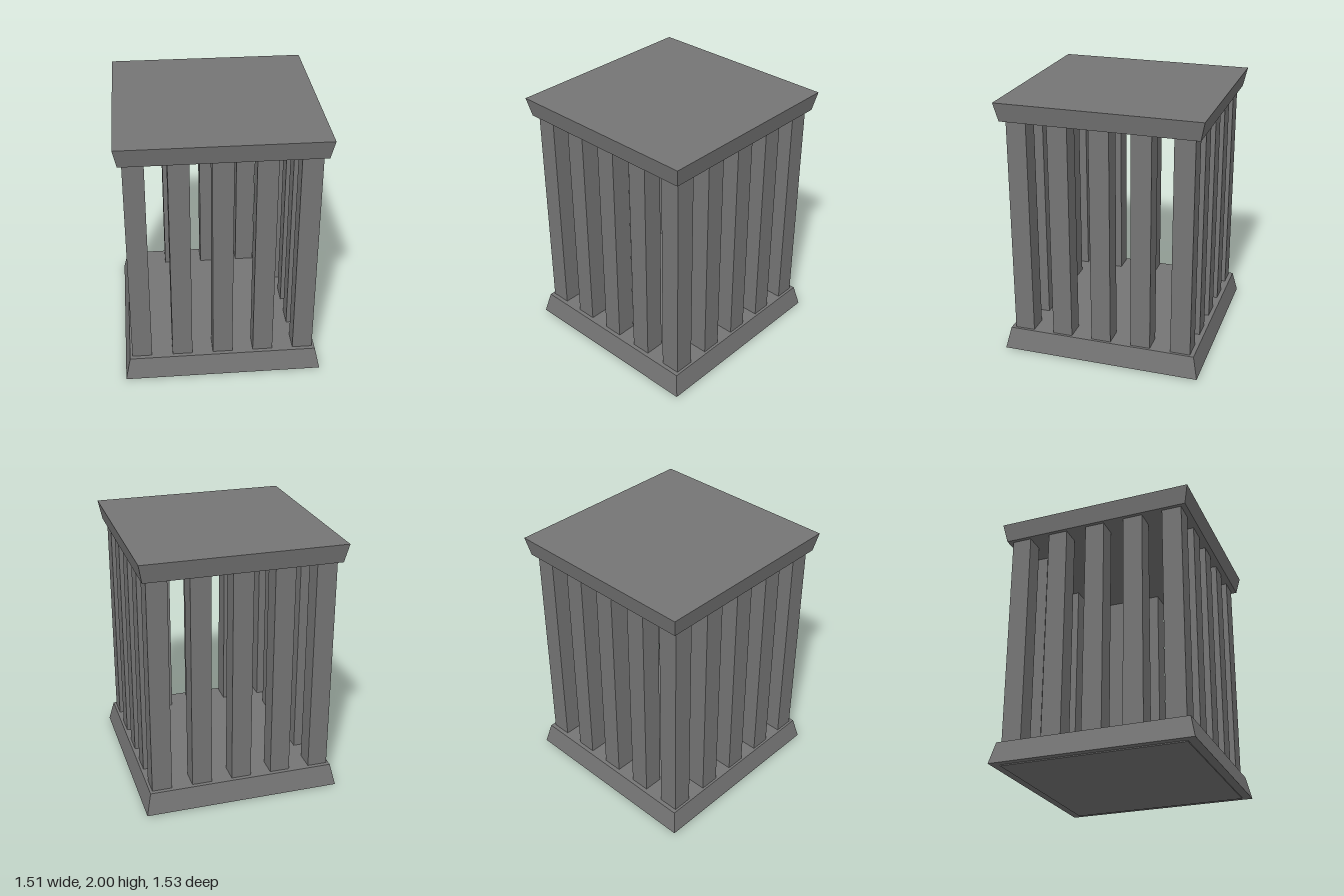
import * as THREE from 'three';

const material = new THREE.MeshStandardMaterial({ color: 0x757575, flatShading: true });

function add(group, name, geometry, x, y, z) {
  const mesh = new THREE.Mesh(geometry, material);
  mesh.name = name;
  mesh.position.set(x, y, z);
  group.add(mesh);
}

// Box whose top and bottom faces have different sizes
function taperedSlab(bottomX, bottomZ, topX, topZ, height) {
  const geometry = new THREE.BoxGeometry(1, height, 1);
  const p = geometry.attributes.position;
  for (let i = 0; i < p.count; i++) {
    const top = p.getY(i) > 0;
    p.setX(i, p.getX(i) * (top ? topX : bottomX));
    p.setZ(i, p.getZ(i) * (top ? topZ : bottomZ));
  }
  geometry.computeVertexNormals();
  return geometry;
}

export function createModel() {
  const model = new THREE.Group();
  model.name = 'barredCage';

  // Base, narrowing upward, on a thin foot plate
  add(model, 'footPlate', new THREE.BoxGeometry(1.398, 0.02, 1.398), -0.001, 0.01, 0);
  add(model, 'base', taperedSlab(1.51, 1.535, 1.435, 1.46, 0.167), 0, 0.0915, 0);

  // Roof, flaring upward
  add(model, 'roof', taperedSlab(1.455, 1.475, 1.51, 1.535, 0.142), 0, 1.929, 0);

  // Square bars around the perimeter, five per side
  const bars = new THREE.Group();
  bars.name = 'bars';
  const height = 1.695;
  const barGeometry = new THREE.BoxGeometry(0.152, height, 0.152);
  for (let i = 0; i < 5; i++) {
    for (let j = 0; j < 5; j++) {
      if (i % 4 !== 0 && j % 4 !== 0) continue;
      add(bars, 'bar', barGeometry, (i - 2) * 0.311 - 0.001, 0.17 + height / 2, (j - 2) * 0.311);
    }
  }
  model.add(bars);
  return model;
}
